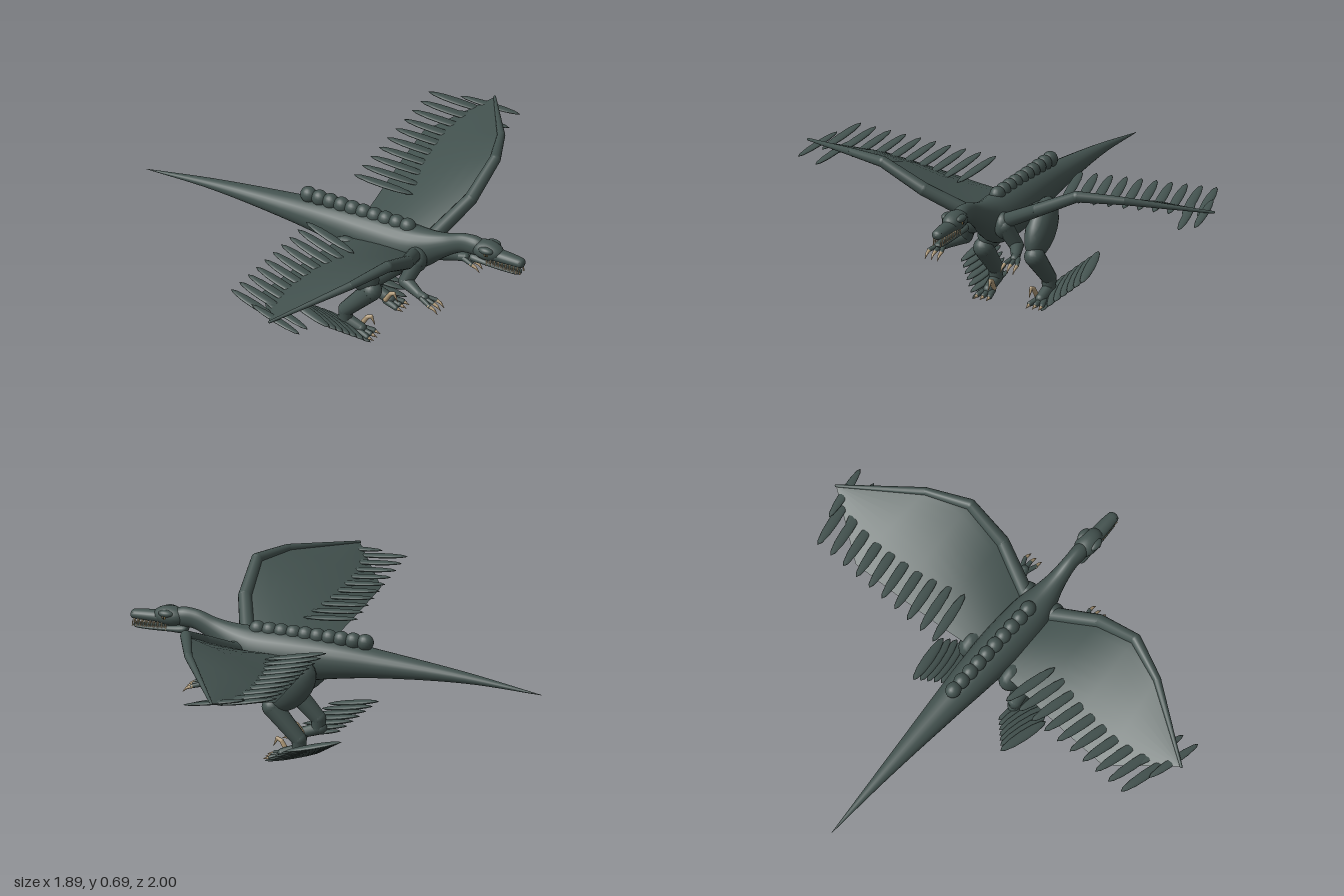
import * as THREE from 'three';

const mat = (name, color, side = THREE.FrontSide) => {
  const m = new THREE.MeshStandardMaterial({ color, side });
  m.name = name;
  return m;
};
const V = (p) => new THREE.Vector3(p[0], p[1], p[2]);
const UP = new THREE.Vector3(0, 1, 0);

export function createModel() {
  const skin = mat('dark green skin', 0x43524f, THREE.DoubleSide);
  const claw = mat('tan claw', 0xb09a78);
  const tooth = mat('ivory tooth', 0xd2c09c);
  const eyeMat = mat('amber eye', 0x8a7448);
  const pupilMat = mat('black pupil', 0x101414);
  const root = new THREE.Group();
  root.name = 'wingedDinosaur';

  const add = (parent, name, geo, m) => {
    const mesh = new THREE.Mesh(geo, m);
    mesh.name = name;
    parent.add(mesh);
    return mesh;
  };
  const group = (parent, name) => {
    const g = new THREE.Group();
    g.name = name;
    parent.add(g);
    return g;
  };
  const ball = (parent, name, p, s, m = skin) => {
    const b = add(parent, name, new THREE.SphereGeometry(1, 18, 12), m);
    b.position.set(...p);
    b.scale.set(...s);
    return b;
  };
  // Tapered rod between two points
  const rod = (parent, name, a, b, r0, r1, m = skin, seg = 14) => {
    const d = V(b).sub(V(a));
    const c = add(parent, name, new THREE.CylinderGeometry(r1, r0, d.length(), seg), m);
    c.position.copy(V(a)).addScaledVector(d, 0.5);
    c.quaternion.setFromUnitVectors(UP, d.normalize());
  };
  // Chain of rods with round joints; each point is [x, y, z, radius]
  const limb = (parent, name, pts, m = skin) => {
    const g = group(parent, name);
    pts.forEach((p, i) => {
      if (p[3] > 0.003) ball(g, name + 'Joint', p, [p[3], p[3], p[3]], m);
      if (i) rod(g, name + 'Segment', pts[i - 1], p, pts[i - 1][3], p[3], m);
    });
    return g;
  };
  // Ellipsoid stretched from a to b, wide sideways and flat in height
  const feather = (parent, a, b, width, thick) => {
    const d = V(b).sub(V(a)), len = d.length();
    const f = add(parent, 'feather', new THREE.SphereGeometry(1, 12, 8), skin);
    f.position.copy(V(a)).addScaledVector(d, 0.5);
    const x = d.normalize(), z = new THREE.Vector3().crossVectors(x, UP).normalize();
    f.quaternion.setFromRotationMatrix(
      new THREE.Matrix4().makeBasis(x, new THREE.Vector3().crossVectors(z, x), z));
    f.scale.set(len / 2, thick, width);
  };
  // Smooth loft along x; each section is [x, centre y, half height, half width]
  const loft = (parent, name, sections, steps, m = skin) => {
    const mid = new THREE.CatmullRomCurve3(sections.map((s) => V(s)), false, 'centripetal');
    const wide = new THREE.CatmullRomCurve3(sections.map((s) => V([s[0], s[1], s[3]])), false, 'centripetal');
    const pos = [], idx = [], n = 24;
    for (let i = 0; i <= steps; i++) {
      const p = mid.getPoint(i / steps), w = Math.max(wide.getPoint(i / steps).z, 0);
      const h = Math.max(p.z, 0);
      for (let j = 0; j < n; j++) {
        const a = (j / n) * Math.PI * 2;
        pos.push(p.x, p.y + h * Math.cos(a), w * Math.sin(a));
        const k = (j + 1) % n, o = i * n;
        if (i < steps) idx.push(o + j, o + n + j, o + k, o + k, o + n + j, o + n + k);
      }
    }
    const g = new THREE.BufferGeometry();
    g.setAttribute('position', new THREE.Float32BufferAttribute(pos, 3));
    // Order the corners so that faces point outwards
    for (let i = 0; i < idx.length; i += 3) [idx[i + 1], idx[i + 2]] = [idx[i + 2], idx[i + 1]];
    g.setIndex(idx);
    g.computeVertexNormals();
    return add(parent, name, g, m);
  };

  // Tail, trunk and neck in one smooth sweep
  loft(root, 'body', [
    [-0.945, 0.402, 0.001, 0.001], [-0.6, 0.437, 0.024, 0.029], [-0.2, 0.45, 0.062, 0.066],
    [0, 0.448, 0.088, 0.085], [0.2, 0.436, 0.112, 0.097], [0.38, 0.437, 0.112, 0.09],
    [0.47, 0.465, 0.088, 0.065], [0.55, 0.507, 0.06, 0.043], [0.64, 0.55, 0.046, 0.033],
    [0.72, 0.556, 0.04, 0.033], [0.78, 0.55, 0.0, 0.0],
  ], 70);

  // Row of humps along the back
  const ridge = group(root, 'backRidge');
  for (let i = 0; i < 10; i++) ball(ridge, 'hump', [-0.135 + i * 0.055, 0.543, 0], [0.038, 0.037, 0.034]);

  // Head
  const head = group(root, 'head');
  ball(head, 'skull', [0.76, 0.553, 0], [0.078, 0.044, 0.05]);
  loft(head, 'upperJaw', [
    [0.72, 0.545, 0, 0], [0.735, 0.545, 0.03, 0.04], [0.82, 0.543, 0.027, 0.034],
    [0.9, 0.541, 0.023, 0.029], [0.935, 0.539, 0.018, 0.022], [0.945, 0.538, 0, 0],
  ], 24);
  loft(head, 'lowerJaw', [
    [0.675, 0.503, 0, 0], [0.685, 0.502, 0.018, 0.03], [0.76, 0.497, 0.016, 0.032],
    [0.87, 0.49, 0.011, 0.026], [0.92, 0.49, 0.009, 0.018], [0.932, 0.49, 0, 0],
  ], 24);
  for (const s of [1, -1]) {
    ball(head, 'brow', [0.77, 0.572, s * 0.035], [0.035, 0.016, 0.02]);
    ball(head, 'eye', [0.775, 0.557, s * 0.044], [0.011, 0.01, 0.008], eyeMat);
    ball(head, 'pupil', [0.777, 0.557, s * 0.05], [0.005, 0.006, 0.004], pupilMat);
    ball(head, 'nostril', [0.925, 0.55, s * 0.018], [0.006, 0.004, 0.004], pupilMat);
    for (let i = 0; i < 9; i++) {
      const x = 0.772 + i * 0.0185, z = s * (0.031 - i * 0.0013);
      rod(head, 'upperTooth', [x, 0.527, z], [x, 0.49, z], 0.005, 0.0005, tooth, 6);
      rod(head, 'lowerTooth', [x + 0.009, 0.49, z * 0.85], [x + 0.009, 0.52, z * 0.85], 0.004, 0.0005, tooth, 6);
    }
  }

  // Limbs and wings, built for each side (s is the sign of z)
  for (const s of [1, -1]) {
    const side = group(root, s > 0 ? 'nearSide' : 'farSide');
    const P = (x, y, z, r) => [x, y, s * z, r];

    // Wing: bony leading edge and a skin membrane
    const wing = group(side, 'wing');
    const lead = [P(0.43, 0.455, 0.07, 0.034), P(0.515, 0.57, 0.28, 0.03), P(0.527, 0.668, 0.475, 0.025),
      P(0.45, 0.655, 0.665, 0.018), P(0.232, 0.587, 0.993, 0.006)];
    limb(wing, 'leadingEdge', lead);
    const trail = [P(0.09, 0.45, 0.08), P(0.07, 0.465, 0.27), P(0.05, 0.488, 0.48), P(0.035, 0.51, 0.71), lead[4]];
    const pos = [], idx = [], n = 8;
    lead.forEach((a, i) => {
      for (let j = 0; j <= n; j++) {
        const p = V(a).lerp(V(trail[i]), j / n);
        pos.push(p.x, p.y + 0.012 * Math.sin((Math.PI * j) / n) * (i < 4 ? 1 : 0), p.z);
        const o = i * (n + 1) + j;
        if (i < 4 && j < n) {
          const q = [o, o + 1, o + n + 1, o + 1, o + n + 2, o + n + 1];
          idx.push(...(s > 0 ? q : q.reverse()));
        }
      }
    });
    const web = new THREE.BufferGeometry();
    web.setAttribute('position', new THREE.Float32BufferAttribute(pos, 3));
    web.setIndex(idx);
    web.computeVertexNormals();
    add(wing, 'membrane', web, skin);

    // Flight feathers along the trailing edge, with two at the tip
    const feathers = group(wing, 'flightFeathers');
    for (let i = 0; i < 10; i++) {
      const z = 0.21 + i * 0.0735, y = 0.558 + i * 0.0045;
      feather(feathers, P(-0.03, y, z), P(0.24, y - 0.045, z + 0.05), 0.023, 0.009);
    }
    feather(feathers, P(0.1, 0.592, 0.92), P(0.37, 0.555, 0.972), 0.02, 0.008);
    feather(feathers, P(0.12, 0.57, 0.84), P(0.365, 0.53, 0.89), 0.02, 0.008);

    // Arm with three clawed fingers
    ball(side, 'shoulder', P(0.445, 0.44, 0.075), [0.05, 0.06, 0.04]);
    limb(side, 'arm', [P(0.455, 0.44, 0.085, 0.038), P(0.42, 0.348, 0.125, 0.032),
      P(0.515, 0.335, 0.17, 0.02), P(0.545, 0.335, 0.18, 0.02)]);
    for (const k of [-1, 0, 1]) {
      const z = 0.185 + k * 0.03;
      limb(side, 'finger', [P(0.54, 0.335, 0.182 + k * 0.012, 0.012), P(0.59, 0.325, z, 0.009)]);
      limb(side, 'fingerClaw', [P(0.588, 0.325, z, 0.009), P(0.612, 0.315, z, 0.006), P(0.63, 0.295, z, 0.001)], claw);
    }

    // Leg
    const thigh = ball(side, 'thigh', P(0.165, 0.345, 0.115), [0.145, 0.088, 0.062]);
    thigh.rotation.z = -0.9;
    limb(side, 'shin', [P(0.25, 0.24, 0.125, 0.046), P(0.125, 0.105, 0.13, 0.034), P(0.125, 0.06, 0.13, 0.03)]);
    limb(side, 'foot', [P(0.115, 0.06, 0.13, 0.028), P(0.2, 0.028, 0.128, 0.024)]);
    for (const k of [-1, 0, 1]) {
      const z = 0.128 + k * 0.03;
      limb(side, 'toe', [P(0.185, 0.022, 0.128 + k * 0.012, 0.016), P(0.245, 0.014, z, 0.012)]);
      rod(side, 'toeClaw', P(0.245, 0.014, z), P(0.28, 0.005, z), 0.01, 0.001, claw, 8);
    }
    // Raised sickle claw
    limb(side, 'sickleClaw', [P(0.19, 0.035, 0.105, 0.011), P(0.215, 0.075, 0.102, 0.01),
      P(0.235, 0.085, 0.1, 0.008), P(0.253, 0.045, 0.1, 0.001)], claw);

    // Fan of feathers behind the ankle
    const fan = group(side, 'ankleFeathers');
    for (let i = 0; i < 7; i++) {
      const x = -0.112 + i * 0.022, y = 0.168 - i * 0.018, z = 0.25 - i * 0.021;
      feather(fan, P(x, y, z), P(x + 0.25, y - 0.06, z + 0.045), 0.024, 0.01);
    }
  }
  return root;
}
